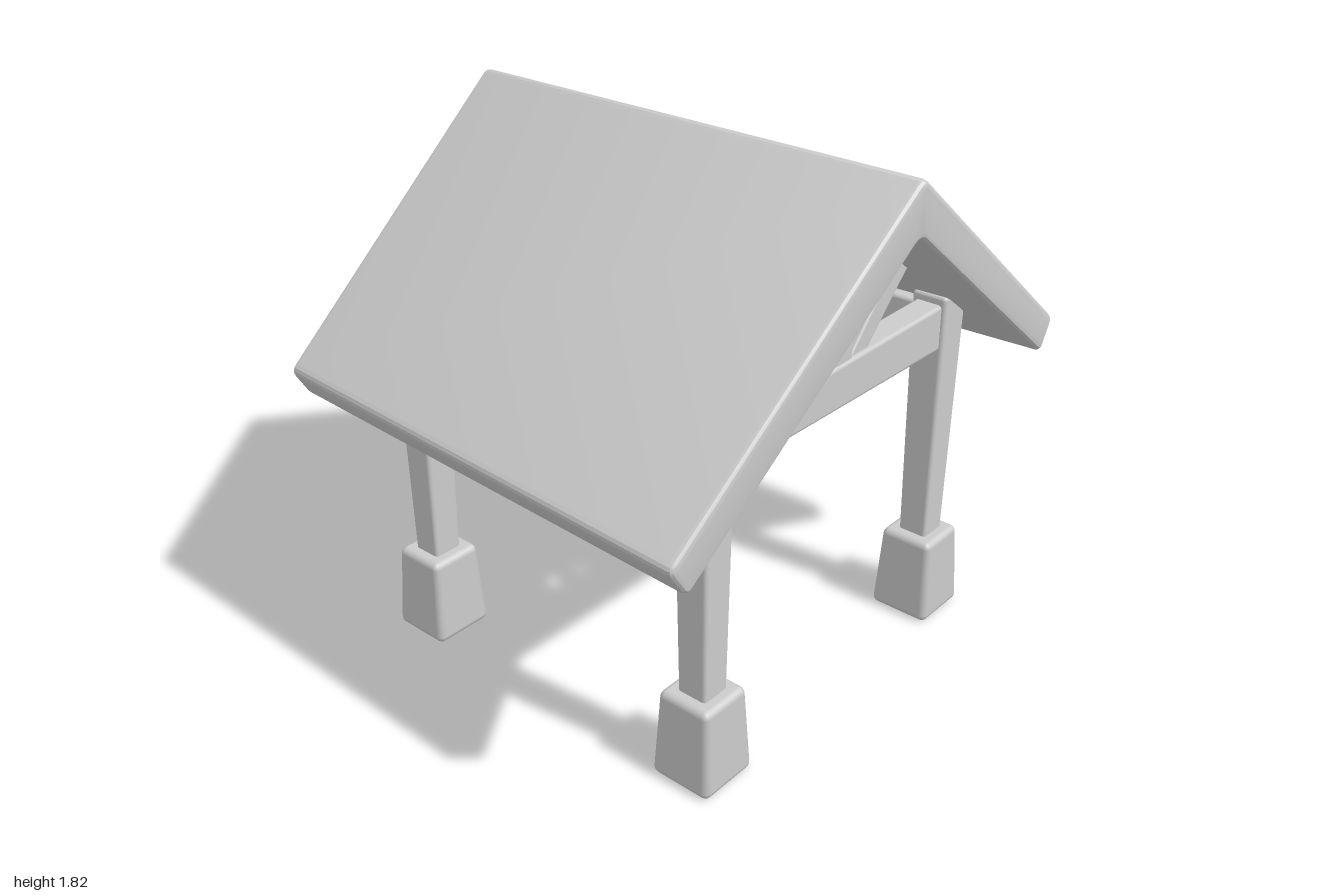
import * as THREE from 'three';
import { toCreasedNormals } from 'three/addons/utils/BufferGeometryUtils.js';
import { RoundedBoxGeometry } from 'three/addons/geometries/RoundedBoxGeometry.js';

const material = new THREE.MeshStandardMaterial({ color: 0xcccccc });
const UP = new THREE.Vector3(0, 1, 0);

// Move every vertex by a rule
function warp(geometry, rule) {
  const pos = geometry.attributes.position;
  const v = new THREE.Vector3();
  for (let i = 0; i < pos.count; i++) {
    rule(v.fromBufferAttribute(pos, i));
    pos.setXYZ(i, v.x, v.y, v.z);
  }
  return geometry;
}

// Rounded timber between two points; start and end give [width, depth] of each end
function timber(name, from, to, start, end, radius = 0.012) {
  const a = new THREE.Vector3(...from), b = new THREE.Vector3(...to);
  const length = a.distanceTo(b);
  const geometry = warp(new RoundedBoxGeometry(start[0], length, start[1], 2, radius), (v) => {
    const t = v.y / length + 0.5;
    v.x *= THREE.MathUtils.lerp(1, end[0] / start[0], t);
    v.z *= THREE.MathUtils.lerp(1, end[1] / start[1], t);
  });
  const mesh = new THREE.Mesh(geometry, material);
  mesh.name = name;
  mesh.position.copy(a).add(b).multiplyScalar(0.5);
  mesh.quaternion.setFromUnitVectors(UP, b.sub(a).normalize());
  return mesh;
}

// Closed outline with softened corners
function roundedShape(points, radius) {
  const pts = points.map((p) => new THREE.Vector2(...p));
  const shape = new THREE.Shape();
  pts.forEach((p, i) => {
    const toward = (q) => q.clone().sub(p).setLength(radius).add(p);
    const inPt = toward(pts[(i + pts.length - 1) % pts.length]);
    const outPt = toward(pts[(i + 1) % pts.length]);
    if (i === 0) shape.moveTo(inPt.x, inPt.y);
    else shape.lineTo(inPt.x, inPt.y);
    shape.quadraticCurveTo(p.x, p.y, outPt.x, outPt.y);
  });
  shape.closePath();
  return shape;
}

// Thick gable roof, longer at the ridge, slightly wider at the front and twisted
function makeRoof() {
  const shape = roundedShape([
    [0, 1.832], [-0.99, 1.04], [-0.92, 0.93], [0, 1.655], [0.92, 0.93], [0.99, 1.04],
  ], 0.03);
  const depth = 1.72, bevel = 0.02;
  const geometry = new THREE.ExtrudeGeometry(shape, {
    depth, curveSegments: 4, bevelSegments: 3,
    bevelThickness: bevel, bevelSize: bevel, bevelOffset: -bevel,
  });
  geometry.translate(0, 0, -depth / 2);
  warp(geometry, (v) => {
    v.z *= 1 - 0.07 * Math.abs(v.x);
    const k = v.z / 0.82;
    v.y += 0.017 * v.x * k;
    v.x *= 0.99 + 0.02 * k;
  });
  const roof = new THREE.Mesh(toCreasedNormals(geometry, 0.3), material);
  roof.name = 'roof';
  return roof;
}

// Tie beam, king post and two struts
function makeTruss(name) {
  const truss = new THREE.Group();
  truss.name = name;
  truss.add(timber('tieBeam', [-0.58, 1.12, 0], [0.58, 1.12, 0], [0.135, 0.1], [0.165, 0.1]));
  truss.add(timber('kingPost', [0, 1.15, 0], [-0.004, 1.71, 0], [0.1, 0.085], [0.08, 0.075]));
  for (const s of [-1, 1]) {
    truss.add(timber('strut', [s * 0.05, 1.15, 0], [s * 0.335, 1.46, 0], [0.066, 0.07], [0.088, 0.075], 0.008));
  }
  return truss;
}

export function createModel() {
  const model = new THREE.Group();
  model.name = 'pavilion';
  model.add(makeRoof());

  // Posts on flared footings
  for (const x of [-0.6, 0.6]) {
    for (const z of [-0.6, 0.6]) {
      model.add(timber('footing', [x, 0, z], [x, 0.312, z], [0.225, 0.225], [0.19, 0.19], 0.024));
      model.add(timber('post', [x, 0.27, z], [x, 1.23, z], [0.106, 0.106], [0.13, 0.13]));
    }
  }

  // Front and back trusses, the back one turned around
  const front = makeTruss('frontTruss');
  front.position.z = 0.6;
  const back = makeTruss('backTruss');
  back.position.z = -0.6;
  back.rotation.y = Math.PI;
  model.add(front, back);

  // Side beams between the posts
  for (const s of [-1, 1]) {
    model.add(timber('sideBeam', [s * 0.6, 1.11, -s * 0.58], [s * 0.6, 1.11, s * 0.58], [0.09, 0.13], [0.09, 0.15]));
  }
  return model;
}
